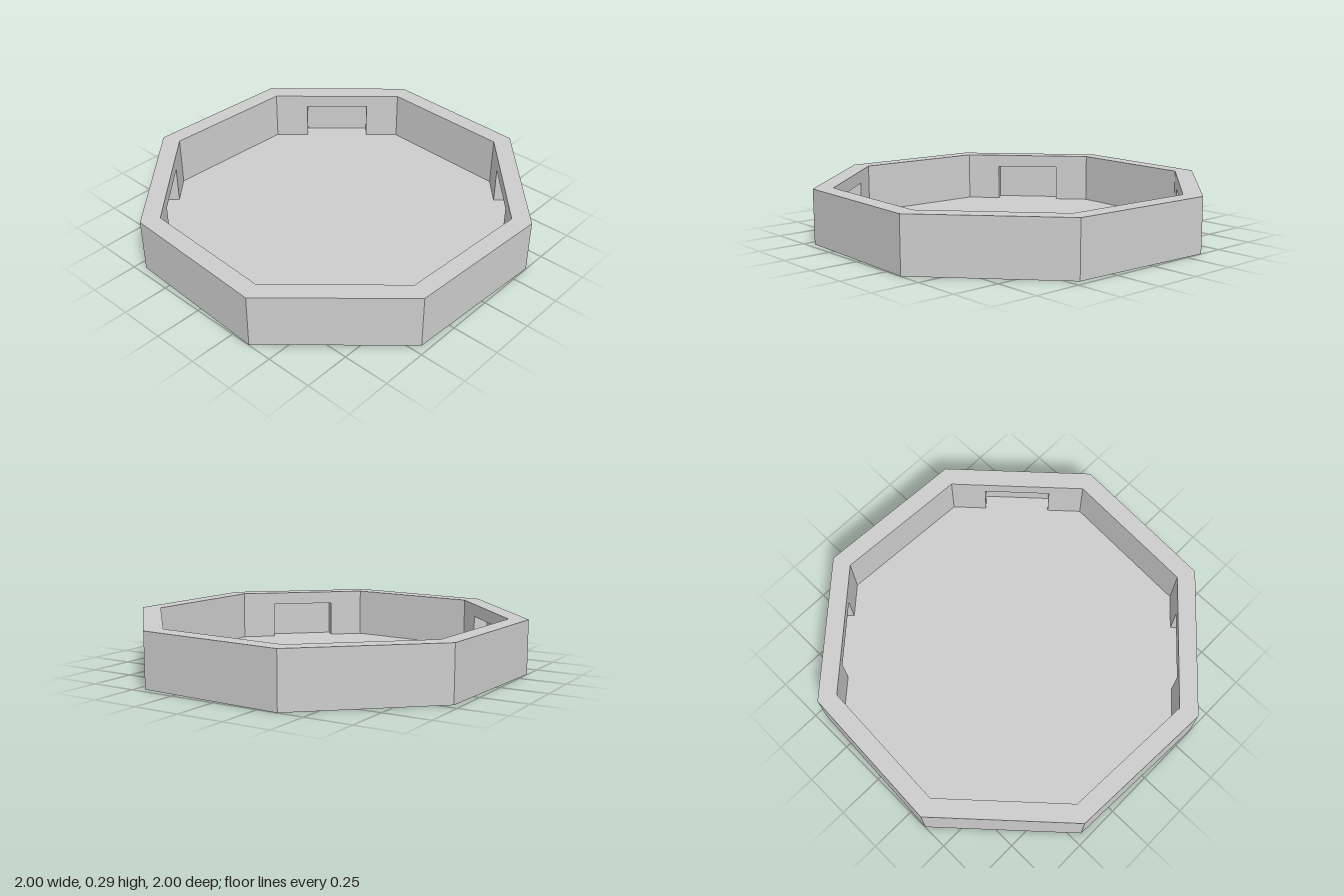
import * as THREE from 'three';

const SIDES = 8, STEP = Math.PI / 4;
const OUTER = 1.062, INNER = 0.958;            // corner radii
const HEIGHT = 0.29, FLOOR = 0.02;
const FIRST = THREE.MathUtils.degToRad(42.4);  // direction of the first wall
const CORNER = FIRST + STEP / 2;
const APOTHEM = INNER * Math.cos(STEP / 2);
const HALF = INNER * Math.sin(STEP / 2);       // half an inner wall
const RECESS = { half: 0.18, top: 0.22, depth: 0.077 };

export function createModel() {
  const grey = new THREE.MeshStandardMaterial({ color: 0xcccccc, flatShading: true });
  grey.name = 'light grey';

  const add = (parent, name, geometry) => {
    const mesh = new THREE.Mesh(geometry, grey);
    mesh.name = name;
    parent.add(mesh);
    return mesh;
  };

  const model = new THREE.Group();
  model.name = 'octagonalTray';

  // Outer shell: side wall, underside and flat rim
  add(model, 'outerWall', new THREE.CylinderGeometry(OUTER, OUTER, HEIGHT, SIDES, 1, true, CORNER))
    .position.y = HEIGHT / 2;
  add(model, 'underside', new THREE.CircleGeometry(OUTER, SIDES, Math.PI / 2 - CORNER).rotateX(Math.PI / 2));
  add(model, 'rim', new THREE.RingGeometry(INNER, OUTER, SIDES, 1, CORNER - Math.PI / 2).rotateX(-Math.PI / 2))
    .position.y = HEIGHT;

  // Floor outline runs out into the recess of every second wall
  const outline = [];
  for (let i = 0; i < SIDES; i++) {
    const a = FIRST + i * STEP;
    const point = (u, r) => outline.push(new THREE.Vector2(
      u * Math.cos(a) + r * Math.sin(a), u * Math.sin(a) - r * Math.cos(a)));
    point(-HALF, APOTHEM);
    if (i % 2 === 0) {
      point(-RECESS.half, APOTHEM);
      point(-RECESS.half, APOTHEM + RECESS.depth);
      point(RECESS.half, APOTHEM + RECESS.depth);
      point(RECESS.half, APOTHEM);
    }
  }
  add(model, 'floor', new THREE.ShapeGeometry(new THREE.Shape(outline)).rotateX(-Math.PI / 2))
    .position.y = FLOOR;

  // Inner walls, alternately plain and recessed
  for (let i = 0; i < SIDES; i++) {
    const side = new THREE.Group();
    side.name = i % 2 ? 'plainSide' : 'recessedSide';
    side.rotation.y = FIRST + i * STEP;
    model.add(side);

    const wall = new THREE.Shape().moveTo(-HALF, FLOOR);
    if (i % 2 === 0) {
      const { half, top, depth } = RECESS;
      wall.lineTo(-half, FLOOR).lineTo(-half, top).lineTo(half, top).lineTo(half, FLOOR);
      const h = top - FLOOR, y = (top + FLOOR) / 2;
      add(side, 'recessBack', new THREE.PlaneGeometry(2 * half, h).rotateY(Math.PI))
        .position.set(0, y, APOTHEM + depth);
      add(side, 'recessTop', new THREE.PlaneGeometry(2 * half, depth).rotateX(Math.PI / 2))
        .position.set(0, top, APOTHEM + depth / 2);
      for (const s of [-1, 1]) {
        add(side, 'recessCheek', new THREE.PlaneGeometry(depth, h).rotateY(-s * Math.PI / 2))
          .position.set(s * half, y, APOTHEM + depth / 2);
      }
    }
    wall.lineTo(HALF, FLOOR).lineTo(HALF, HEIGHT).lineTo(-HALF, HEIGHT).closePath();
    add(side, 'innerWall', new THREE.ShapeGeometry(wall).rotateY(Math.PI)).position.z = APOTHEM;
  }
  return model;
}
